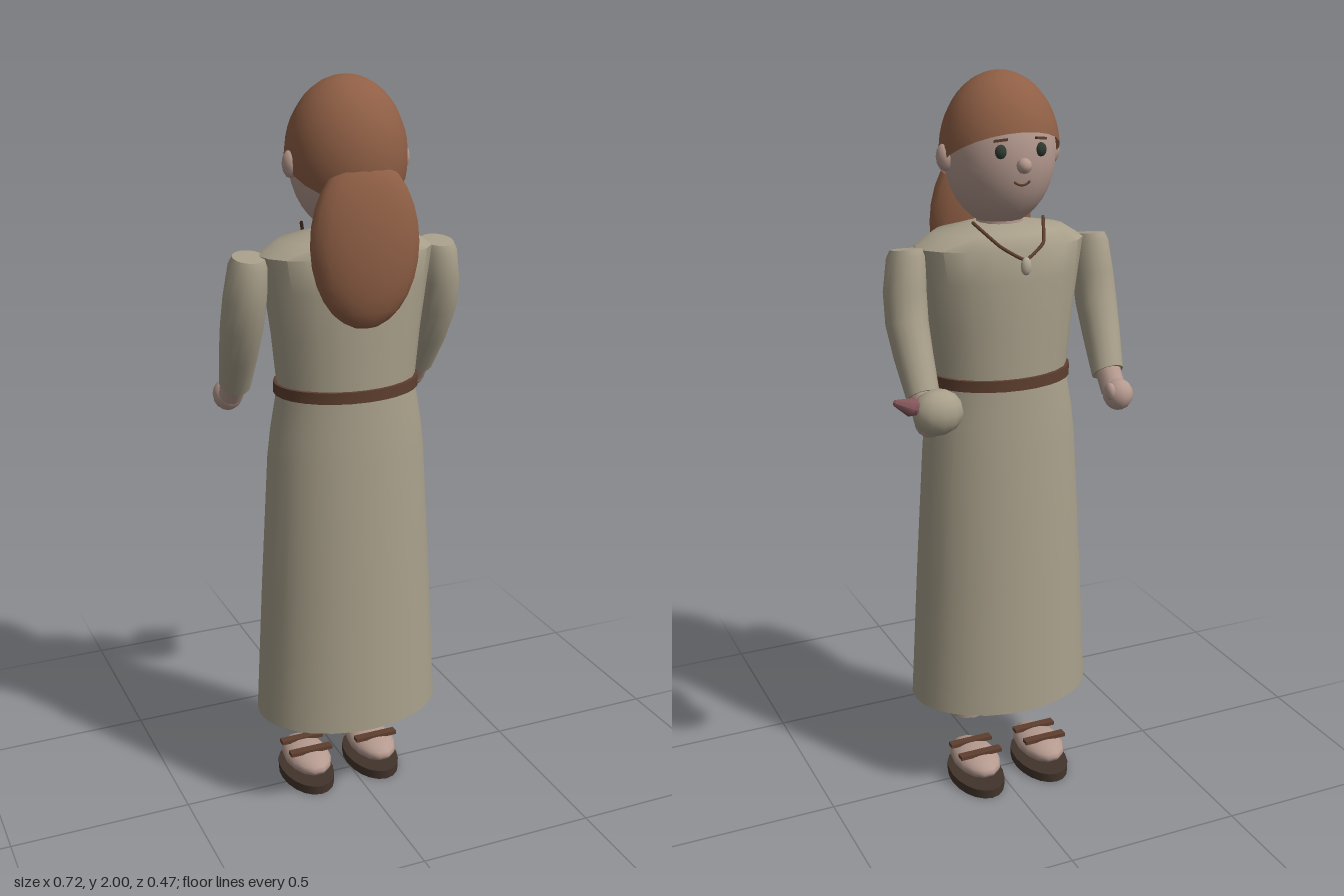
import * as THREE from 'three';
import { toCreasedNormals } from 'three/addons/utils/BufferGeometryUtils.js';

const CX = -0.03, CZ = 0.04; // body axis

const paint = (color, side = THREE.FrontSide) => new THREE.MeshStandardMaterial({ color, side });
const robe = paint(0xa89f8a, THREE.DoubleSide);
const hair = paint(0x8f5f45, THREE.DoubleSide);
const skin = paint(0xb59a8f);
const leather = paint(0x5e3f2e, THREE.DoubleSide);
const sole = paint(0x42342b);
const dark = paint(0x2f3a32);
const bone = paint(0xb3aa97);
const beakRed = paint(0x83565a);

// Skin through elliptical rings [x, y, z, rx, rz, tilt about x], bottom to top
function loft(rings, n = 20) {
  const pos = [], idx = [];
  for (const [x, y, z, rx, rz, t = 0] of rings) {
    for (let i = 0; i < n; i++) {
      const a = (i / n) * Math.PI * 2, s = Math.sin(a) * rz;
      pos.push(x + Math.cos(a) * rx, y - s * Math.sin(t), z + s * Math.cos(t));
    }
  }
  for (let j = 0; j < rings.length - 1; j++) {
    for (let i = 0; i < n; i++) {
      const k = (i + 1) % n, a = j * n + i, b = j * n + k;
      idx.push(a, a + n, b, b, a + n, b + n);
    }
  }
  const g = new THREE.BufferGeometry();
  g.setAttribute('position', new THREE.Float32BufferAttribute(pos, 3));
  g.setIndex(idx);
  return toCreasedNormals(g, 0.8);
}

function add(parent, name, geometry, material, x = 0, y = 0, z = 0) {
  const m = new THREE.Mesh(geometry, material);
  m.name = name;
  m.position.set(x, y, z);
  parent.add(m);
  return m;
}

const ball = (rx, ry, rz, n = 14) => new THREE.SphereGeometry(1, n, Math.max(6, n - 4)).scale(rx, ry, rz);

function group(parent, name) {
  const g = new THREE.Group();
  g.name = name;
  parent.add(g);
  return g;
}

function buildHead(root) {
  const head = group(root, 'head');
  head.position.set(CX, 1.8, CZ);
  add(head, 'face', ball(0.147, 0.193, 0.142, 22), skin);
  add(head, 'neck', new THREE.CylinderGeometry(0.06, 0.065, 0.14, 14), skin, 0, -0.19, 0);
  // Tilted cap of hair and the long tail behind
  const cap = new THREE.SphereGeometry(1, 24, 12, 0, Math.PI * 2, 0, 1.66);
  cap.rotateX(0.4).scale(0.157, 0.2, 0.15);
  add(head, 'hairCap', cap, hair);
  const tail = add(head, 'hairTail', ball(0.147, 0.215, 0.066, 18), hair, 0, -0.2, 0.122);
  tail.rotation.x = -0.04;
  add(head, 'nose', ball(0.02, 0.02, 0.02, 10), skin, 0, -0.02, -0.15);
  const mouth = new THREE.TorusGeometry(0.03, 0.003, 5, 10, 1.6);
  mouth.rotateZ(Math.PI * 1.5 - 0.8);
  const lips = add(head, 'mouth', mouth, leather, 0, -0.04, -0.133);
  lips.rotation.x = 0.25;
  for (const s of [-1, 1]) {
    add(head, 'ear', ball(0.024, 0.036, 0.025, 10), skin, s * 0.149, -0.01, 0.005);
    add(head, 'eye', ball(0.016, 0.018, 0.012, 10), dark, s * 0.055, 0.015, -0.13);
    const brow = add(head, 'eyebrow', new THREE.BoxGeometry(0.036, 0.006, 0.008), leather, s * 0.055, 0.043, -0.13);
    brow.rotation.set(0, -s * 0.4, -s * 0.12);
  }
}

function buildRobe(root) {
  add(root, 'torso', loft([
    [CX, 1.18, CZ, 0.186, 0.136],
    [CX, 1.35, CZ, 0.203, 0.14],
    [CX, 1.48, CZ, 0.222, 0.14],
    [CX, 1.565, CZ, 0.236, 0.135],
    [CX, 1.6, CZ, 0.18, 0.115],
    [CX, 1.62, CZ, 0.06, 0.06],
    [CX, 1.62, CZ, 0, 0],
  ]), robe);
  add(root, 'skirt', loft([
    [CX, 0.265, CZ, 0.26, 0.195],
    [CX, 0.65, CZ, 0.24, 0.175],
    [CX, 1.02, CZ, 0.218, 0.155],
    [CX, 1.1, CZ, 0.208, 0.15],
    [CX, 1.205, CZ, 0.189, 0.142],
  ], 28), robe);
  add(root, 'belt', loft([
    [CX, 1.195, CZ, 0.198, 0.148],
    [CX, 1.225, CZ, 0.198, 0.148],
    [CX, 1.225, CZ, 0.186, 0.138],
  ], 28), leather);
  // Necklace cord with a drop
  const pts = [[-0.1, 1.63, -0.015], [-0.06, 1.58, -0.1], [0, 1.545, -0.122], [0.06, 1.58, -0.1], [0.1, 1.63, -0.015]];
  const cord = new THREE.CatmullRomCurve3(pts.map(([x, y, z]) => new THREE.Vector3(x + CX, y, z)), false, 'catmullrom', 0.2);
  add(root, 'necklaceCord', new THREE.TubeGeometry(cord, 24, 0.0045, 6), leather);
  add(root, 'pendant', ball(0.015, 0.024, 0.011, 10), bone, CX, 1.53, -0.125);
}

function buildArm(root, s) {
  const arm = group(root, s > 0 ? 'leftArm' : 'rightArm');
  const x = d => CX + s * d;
  add(arm, 'sleeve', loft([
    [x(0.268), 1.212, -0.075, 0, 0, 0.7],
    [x(0.268), 1.205, -0.08, 0.044, 0.042, 0.7],
    [x(0.273), 1.3, -0.03, 0.051, 0.052, 0.55],
    [x(0.275), 1.38, 0.008, 0.056, 0.056, 0.3],
    [x(0.272), 1.46, 0.028, 0.056, 0.058, 0.15],
    [x(0.264), 1.545, 0.036, 0.05, 0.057, 0.15],
    [x(0.262), 1.565, 0.037, 0.042, 0.048, 0.15],
    [x(0.262), 1.567, 0.037, 0, 0, 0.15],
  ], 16), robe);
  const wrist = add(arm, 'wrist', new THREE.CylinderGeometry(0.034, 0.034, 0.07, 12), skin, x(0.27), 1.19, -0.092);
  wrist.rotation.x = 0.65;
  add(arm, 'hand', ball(0.041, 0.043, 0.042, 12), skin, x(0.272), 1.157, -0.133);
  add(arm, 'thumb', ball(0.014, 0.024, 0.02, 8), skin, x(0.236), 1.175, -0.153);
}

function buildFoot(root, s) {
  const foot = group(root, s > 0 ? 'leftLeg' : 'rightLeg');
  foot.position.x = CX + s * 0.102;
  add(foot, 'leg', new THREE.CylinderGeometry(0.065, 0.057, 0.5, 12), skin, 0, 0.447, 0.035);
  add(foot, 'foot', ball(0.065, 0.036, 0.108, 14), skin, 0, 0.066, -0.018);
  add(foot, 'sandalSole', new THREE.CylinderGeometry(1, 1, 0.026, 20).scale(0.073, 1, 0.122), sole, 0, 0.013, -0.022);
  for (const z of [0.016, -0.056]) {
    add(foot, 'sandalStrap', new THREE.BoxGeometry(0.126, 0.011, 0.024), leather, 0, 0.099, z);
  }
}

export function createModel() {
  const root = new THREE.Group();
  root.name = 'robedFigure';
  buildHead(root);
  buildRobe(root);
  for (const s of [-1, 1]) {
    buildArm(root, s);
    buildFoot(root, s);
  }
  // Rounded flask with a tapered stopper, held in the left hand
  const flask = group(root, 'flask');
  flask.position.set(0.24, 1.195, -0.183);
  add(flask, 'flaskBody', ball(0.068, 0.06, 0.053, 12), robe);
  const stopper = add(flask, 'stopper', loft([
    [0, -0.012, 0, 0, 0],
    [0, -0.012, 0, 0.017, 0.017],
    [0, 0.008, 0, 0.025, 0.025],
    [0, 0.055, 0, 0.008, 0.008],
    [0, 0.06, 0, 0, 0],
  ], 8), beakRed, 0.063, 0.02, 0);
  stopper.rotation.z = -1.2;
  return root;
}
